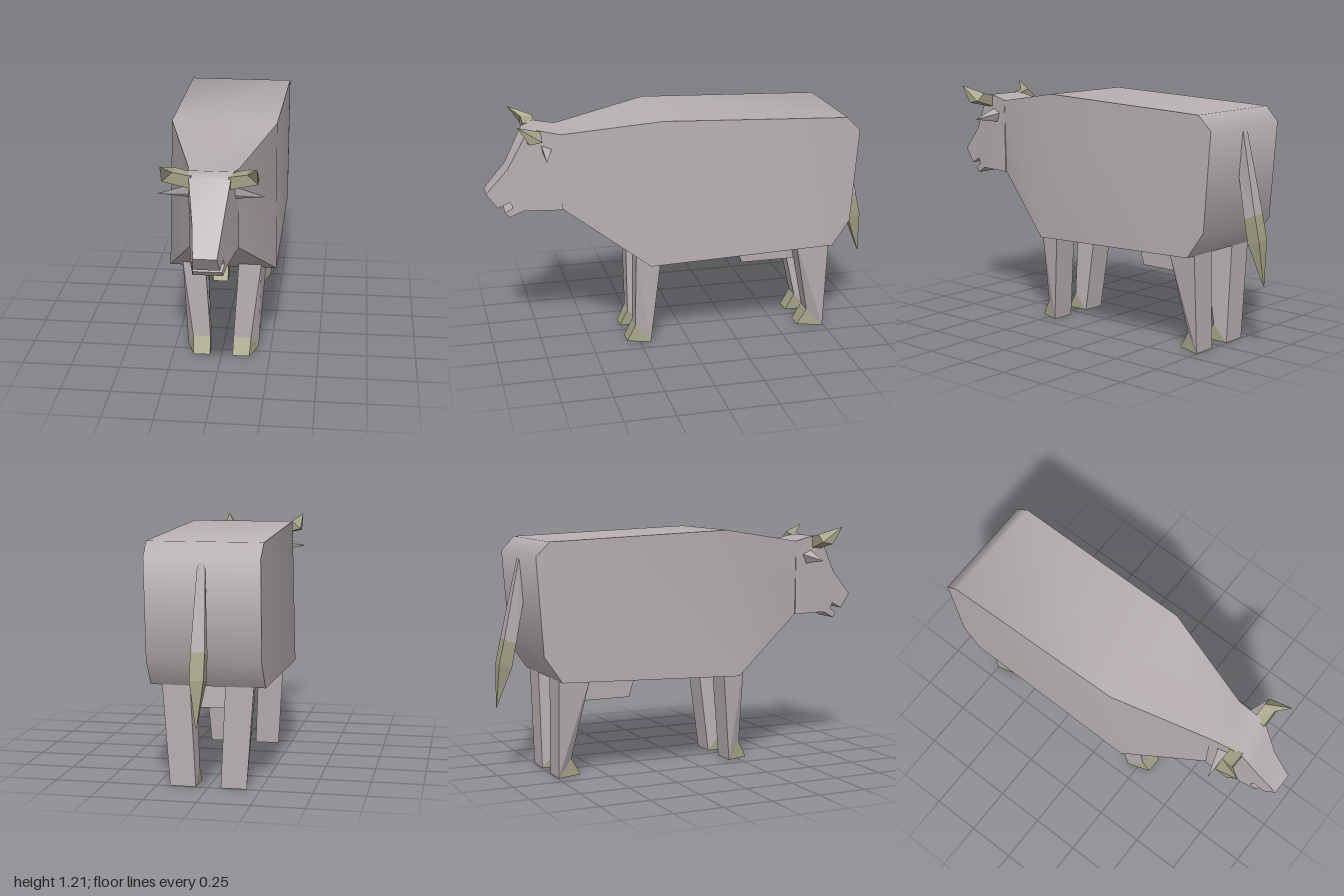
import * as THREE from 'three';
import { mergeGeometries, toCreasedNormals } from 'three/addons/utils/BufferGeometryUtils.js';

const hide = new THREE.MeshStandardMaterial({ color: 0xb8b0b0 });
hide.name = 'hide';
const horny = new THREE.MeshStandardMaterial({ color: 0xa2a286 });
horny.name = 'horn and hoof';

// Joins rings of equal point count into a solid; side = -1 mirrors it in x.
function loft(rings, side = 1, caps = [true, true]) {
  const tris = [];
  const quad = (a, b, c, d) => tris.push([a, b, c], [a, c, d]);
  const n = rings[0].length;
  for (let r = 0; r < rings.length - 1; r++) {
    for (let i = 0; i < n; i++) {
      const j = (i + 1) % n;
      quad(rings[r][i], rings[r][j], rings[r + 1][j], rings[r + 1][i]);
    }
  }
  const cap = (ring, flip) => {
    for (let i = 1; i < n - 1; i++) {
      tris.push(flip ? [ring[0], ring[i + 1], ring[i]] : [ring[0], ring[i], ring[i + 1]]);
    }
  };
  if (caps[0]) cap(rings[0], true);
  if (caps[1]) cap(rings[rings.length - 1], false);

  const solid = tris
    .map((t) => t.map(([x, y, z]) => new THREE.Vector3(x * side, y, z)))
    .filter((t) => new THREE.Triangle(...t).getArea() > 1e-7);
  // Turn all faces outward, measured from the middle of the solid.
  const mid = new THREE.Vector3();
  solid.flat().forEach((p) => mid.addScaledVector(p, 1 / (solid.length * 3)));
  let volume = 0;
  for (const [a, b, c] of solid) {
    volume += a.clone().sub(mid).dot(b.clone().sub(mid).cross(c.clone().sub(mid)));
  }
  if (volume < 0) solid.forEach((t) => t.reverse());
  const geo = new THREE.BufferGeometry().setFromPoints(solid.flat());
  geo.computeVertexNormals();
  return geo;
}

function add(parent, name, geo, material) {
  const mesh = new THREE.Mesh(geo, material);
  mesh.name = name;
  parent.add(mesh);
}

// Four corners symmetric about x = 0
const section = (wTop, yTop, zTop, wBot, yBot, zBot) => [
  [wTop, yTop, zTop], [-wTop, yTop, zTop], [-wBot, yBot, zBot], [wBot, yBot, zBot],
];

function trunkGeometry() {
  return loft([
    section(0.272, 1.1, -0.875, 0.272, 0.62, -0.84),
    section(0.275, 1.17, -0.805, 0.275, 0.49, -0.75),
    section(0.262, 1.205, 0.14, 0.272, 0.457, 0.21),
    section(0.118, 1.13, 0.625, 0.11, 0.74, 0.625),
  ], 1, [true, false]);
}

// Side outline of head and open mouth, narrowing toward the muzzle
function headGeometry() {
  const outline = [
    [0.625, 1.13], [0.74, 1.155], [0.795, 1.135], [0.89, 0.955], [1, 0.83], [0.945, 0.755],
    [0.885, 0.785], [0.87, 0.755], [0.91, 0.73], [0.89, 0.705], [0.82, 0.74], [0.625, 0.74],
  ].map(([z, y]) => new THREE.Vector2(z, y));
  const widths = [[0.625, 0.118], [0.74, 0.105], [0.8, 0.095], [0.89, 0.07], [1, 0.055]];
  const halfWidth = (z) => {
    let i = 1;
    while (i < widths.length - 1 && z > widths[i][0]) i++;
    const [z0, w0] = widths[i - 1], [z1, w1] = widths[i];
    return w0 + ((w1 - w0) * (z - z0)) / (z1 - z0);
  };
  const geo = new THREE.ExtrudeGeometry(new THREE.Shape(outline), { depth: 1, bevelEnabled: false });
  const p = geo.attributes.position;
  for (let i = 0; i < p.count; i++) {
    const z = p.getX(i);
    p.setXYZ(i, (1 - 2 * p.getZ(i)) * halfWidth(z), p.getY(i), z);
  }
  geo.deleteAttribute('uv');
  geo.clearGroups();
  geo.computeVertexNormals();
  return geo;
}

function addLeg(parent, name, side, yTop, [topFront, topBack, ankle, toe, heel]) {
  const group = new THREE.Group();
  group.name = name;
  const front = [[0.06, 0.085, ankle], [0.15, 0.085, ankle]];
  const back = [[0.185, 0, heel], [0.06, 0, heel]];
  const toes = [[0.058, 0, toe], [0.145, 0, toe]];
  const top = [
    [0.085, yTop, topFront], [0.2, yTop, topFront], [0.22, yTop, topBack], [0.085, yTop, topBack],
  ];
  add(group, 'shank', loft([top, [...front, ...back]], side), hide);
  add(group, 'hoof', loft([[...front, ...back], [...toes, ...back]], side), horny);
  parent.add(group);
}

export function createModel() {
  const cow = new THREE.Group();
  cow.name = 'cow';

  // Trunk and head share softly shaded edges
  const body = mergeGeometries([trunkGeometry(), headGeometry()]);
  add(cow, 'body', toCreasedNormals(body, 0.88), hide);

  add(cow, 'udder', loft([
    section(0.08, 0.5, -0.28, 0.08, 0.5, -0.6),
    section(0.073, 0.357, -0.32, 0.073, 0.357, -0.61),
  ]), hide);

  // Tail with a pointed tuft
  const tailJoin = section(0.033, 0.685, -0.962, 0.033, 0.66, -0.902);
  add(cow, 'tail', loft([
    section(0.018, 1.08, -0.875, 0.018, 0.87, -0.855), tailJoin,
  ]), hide);
  add(cow, 'tailTuft', loft([
    tailJoin,
    section(0.033, 0.56, -0.99, 0.033, 0.545, -0.925),
    section(0.003, 0.345, -1, 0.003, 0.345, -0.998),
  ]), horny);

  for (const [side, label] of [[1, 'left'], [-1, 'right']]) {
    addLeg(cow, label + 'FrontLeg', side, 0.5, [0.272, 0.145, 0.272, 0.315, 0.197]);
    addLeg(cow, label + 'HindLeg', side, 0.5, [-0.578, -0.75, -0.665, -0.615, -0.745]);

    // Horn: outward, then up and forward to a point
    const tip = [0.218, 1.205, 0.85];
    add(cow, label + 'Horn', loft([
      [[0.085, 1.145, 0.73], [0.085, 1.145, 0.79], [0.085, 1.085, 0.79], [0.085, 1.085, 0.735]],
      [[0.17, 1.165, 0.73], [0.17, 1.16, 0.79], [0.22, 1.115, 0.79], [0.22, 1.125, 0.73]],
      [tip, tip, tip, tip],
    ], side), horny);

    const earTip = [0.25, 1.03, 0.715];
    add(cow, label + 'Ear', loft([
      [[0.1, 1.08, 0.722], [0.1, 1.06, 0.668], [0.1, 1.007, 0.69], [0.1, 1.035, 0.715]],
      [earTip, earTip, earTip, earTip],
    ], side), hide);
  }
  return cow;
}
